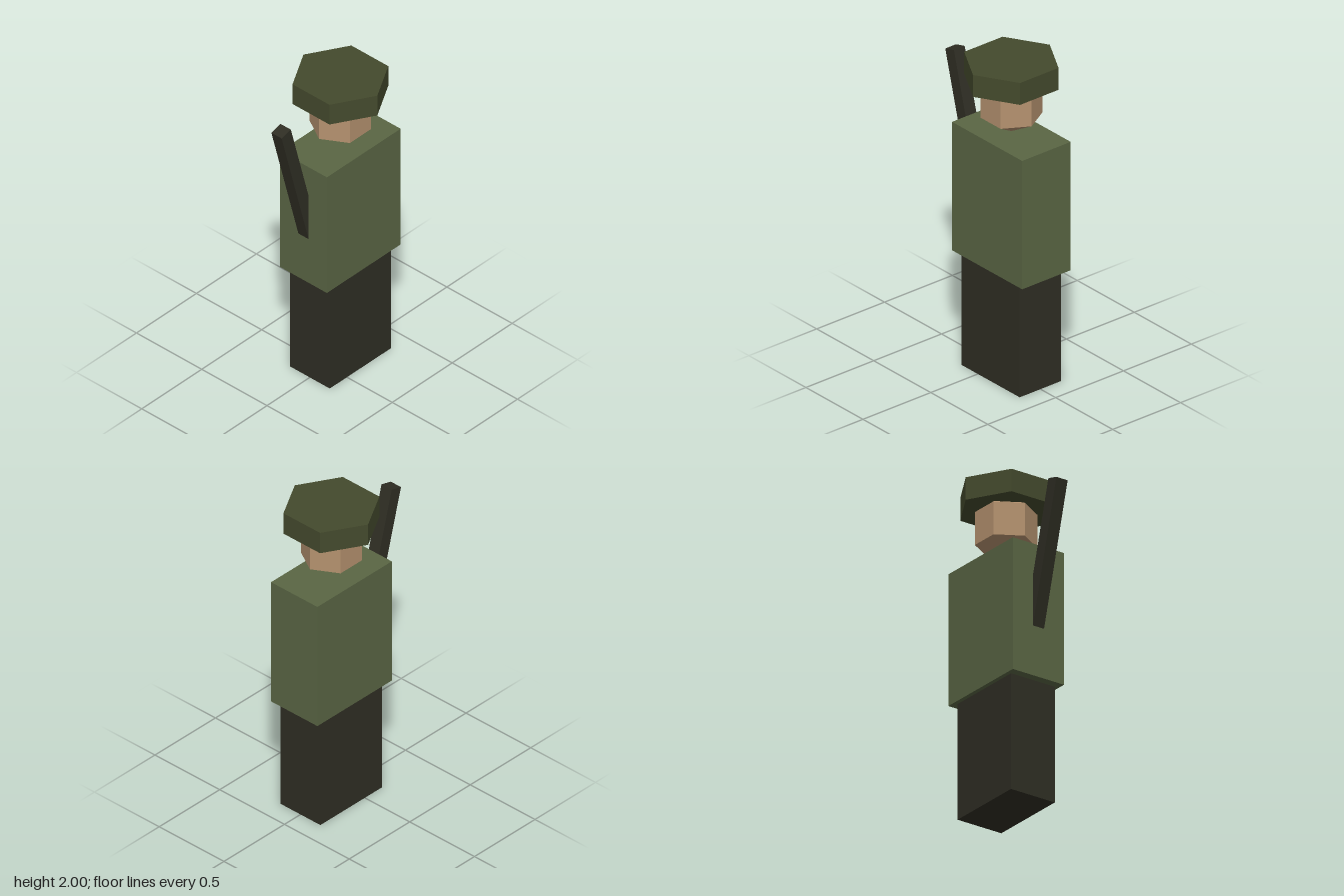
import * as THREE from 'three';

export function createModel() {
  const model = new THREE.Group();
  model.name = 'soldierFigure';

  const material = (name, color) => {
    const m = new THREE.MeshStandardMaterial({ color, flatShading: true });
    m.name = name;
    return m;
  };
  const tunicGreen = material('tunicGreen', 0x5a6644);
  const capGreen = material('capGreen', 0x444a2d);
  const darkBrown = material('darkBrown', 0x2f2e24);
  const skin = material('skin', 0xb5926f);

  const add = (name, geometry, mat, x, y) => {
    const mesh = new THREE.Mesh(geometry, mat);
    mesh.name = name;
    mesh.position.set(x, y, 0);
    model.add(mesh);
    return mesh;
  };

  // Body stands off-centre to balance the raised stick
  const bodyX = 0.112;
  add('legs', new THREE.BoxGeometry(0.51, 0.72, 0.306), darkBrown, bodyX, 0.36);
  add('torso', new THREE.BoxGeometry(0.615, 0.82, 0.358), tunicGreen, bodyX, 1.13);

  // Faceted head, its crown hidden in the cap
  add('head', new THREE.SphereGeometry(0.205, 6, 3), skin, bodyX, 1.75);
  add('cap', new THREE.CylinderGeometry(0.283, 0.283, 0.14, 6), capGreen, bodyX, 1.93);

  // Slanted stick rising from the right side of the torso
  const stick = add('stick', new THREE.BoxGeometry(0.079, 1, 0.079), darkBrown, -0.253, 1.397);
  stick.rotation.z = THREE.MathUtils.degToRad(15);

  return model;
}
